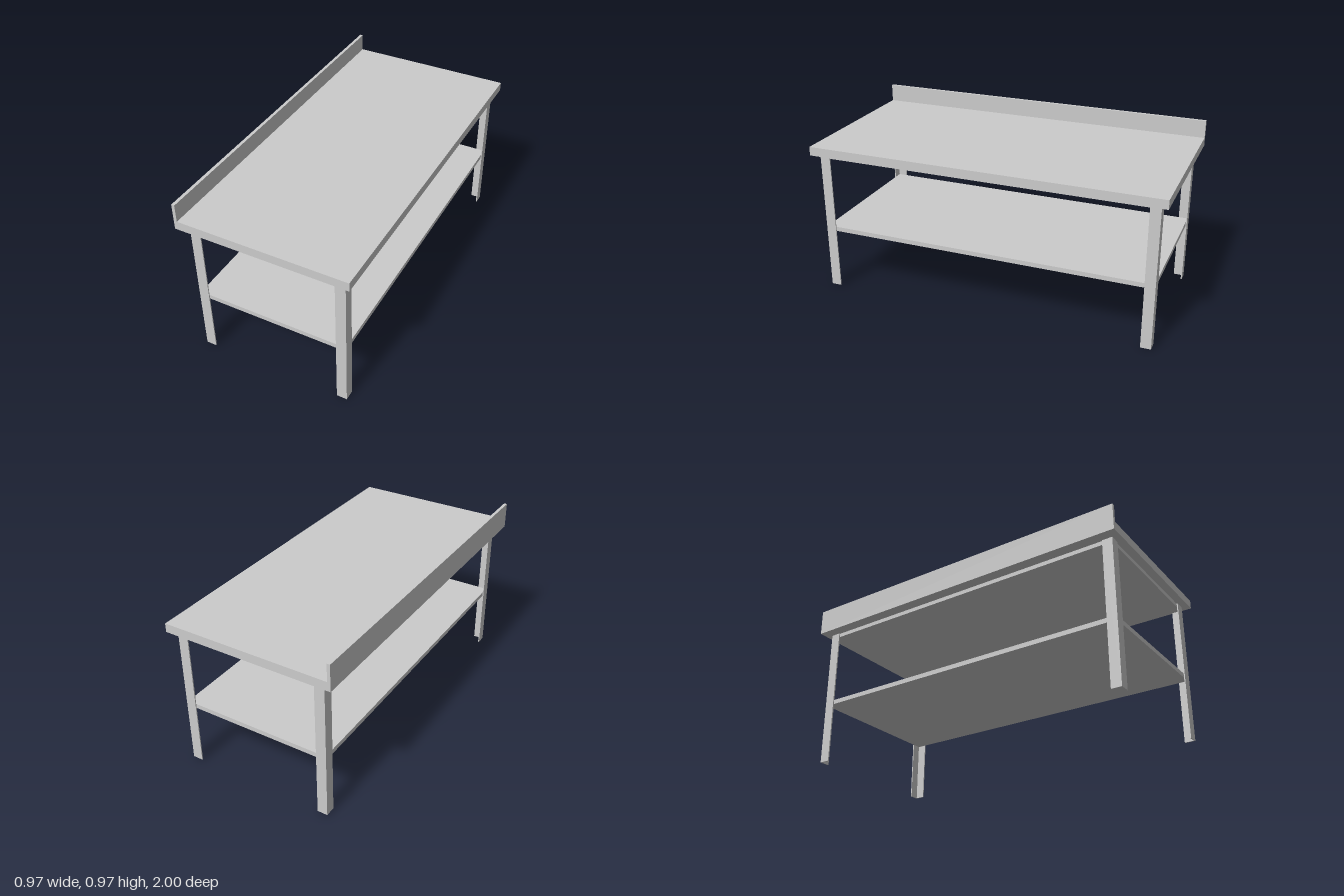
import * as THREE from 'three';

const X0 = -0.425, X1 = 0.444, Z = 0.96; // outer faces of the legs
const LEG = 0.058, T = 0.006, LEG_H = 0.82; // angle-iron flange width, thickness, height

export function createModel() {
  const group = new THREE.Group();
  const material = new THREE.MeshStandardMaterial({ color: 0xcccccc, flatShading: true });

  const add = (name, geometry) => {
    const mesh = new THREE.Mesh(geometry, material);
    mesh.name = name;
    group.add(mesh);
    return mesh;
  };
  const extrude = (points, depth) => new THREE.ExtrudeGeometry(
    new THREE.Shape(points.map(([x, y]) => new THREE.Vector2(x, y))),
    { depth, bevelEnabled: false });

  // Worktop with its upstand along one long edge
  add('worktop', extrude([
    [-0.484, 0.818], [0.484, 0.818], [0.484, 0.868],
    [-0.466, 0.868], [-0.466, 0.968], [-0.484, 0.968],
  ], 2).translate(0, 0, -1));

  // Slabs that sit inside the corner angles of the legs
  const slab = (name, y0, y1) => add(name,
    new THREE.BoxGeometry(X1 - X0 - 2 * T, y1 - y0, 2 * (Z - T))
      .translate((X0 + X1) / 2, (y0 + y1) / 2, 0));
  slab('underTopPanel', 0.795, 0.818);
  slab('lowerShelf', 0.352, 0.378);

  // L-section legs, outer corner facing away from the table
  for (const sx of [-1, 1]) {
    for (const sz of [-1, 1]) {
      const x = sx > 0 ? X1 : X0;
      const section = [[0, 0], [LEG, 0], [LEG, T], [T, T], [T, LEG], [0, LEG]]
        .map(([a, b]) => [x - sx * a, -sz * (Z - b)]);
      const name = (sz > 0 ? 'front' : 'back') + (sx > 0 ? 'Left' : 'Right') + 'Leg';
      add(name, extrude(section, LEG_H).rotateX(-Math.PI / 2));
    }
  }
  return group;
}
